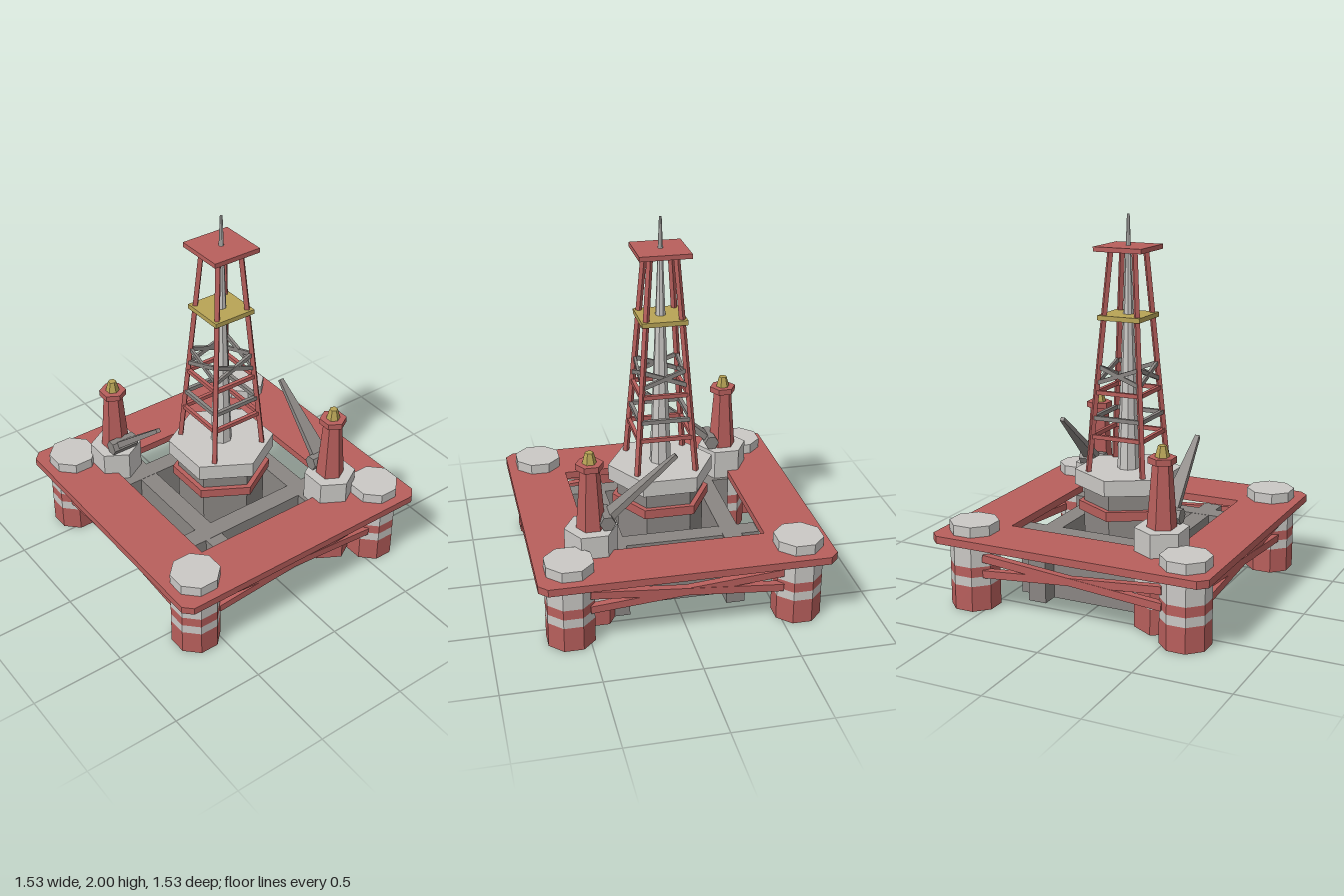
import * as THREE from 'three';

const mat = (name, color) => {
  const m = new THREE.MeshStandardMaterial({ color });
  m.name = name;
  return m;
};

export function createModel() {
  const red = mat('red paint', 0xb85f5c);
  const light = mat('light grey', 0xcac8c5);
  const grey = mat('mid grey', 0x8a8683);
  const yellow = mat('dull yellow', 0xb8a456);
  const dark = mat('dark opening', 0x303030);

  const rig = new THREE.Group();
  rig.name = 'oilRig';

  const add = (parent, name, geo, material, x = 0, y = 0, z = 0) => {
    const m = new THREE.Mesh(geo, material);
    m.name = name;
    m.position.set(x, y, z);
    parent.add(m);
    return m;
  };
  const box = (parent, name, material, w, h, d, x, y, z) =>
    add(parent, name, new THREE.BoxGeometry(w, h, d), material, x, y, z);

  // Faceted prism between two heights; hexagons point along x, octagons have flats on the axes
  const prism = (parent, name, material, sides, r0, r1, y0, y1, x = 0, z = 0) => {
    const g = new THREE.CylinderGeometry(r1, r0, y1 - y0, sides).toNonIndexed();
    g.rotateY(sides === 8 ? Math.PI / 8 : Math.PI / 2);
    g.computeVertexNormals();
    return add(parent, name, g, material, x, (y0 + y1) / 2, z);
  };

  // Square bar from a to b; taper narrows the far end sideways
  const beam = (parent, name, material, a, b, w, h, taper = 1, taperH = 1) => {
    const p = new THREE.Vector3(...a), q = new THREE.Vector3(...b);
    const g = new THREE.BoxGeometry(w, h, p.distanceTo(q)).toNonIndexed();
    const pos = g.attributes.position;
    for (let i = 0; i < pos.count; i++) {
      if (pos.getZ(i) > 0) pos.setXY(i, pos.getX(i) * taper, pos.getY(i) * taperH);
    }
    g.computeVertexNormals();
    const m = new THREE.Mesh(g, material);
    m.name = name;
    m.position.copy(p).lerp(q, 0.5);
    m.lookAt(q);
    parent.add(m);
    return m;
  };

  // Painted column bands from the waterline up
  const column = (parent, name, sides, r, top, x, z) => {
    const bands = [[0, 0.135, red], [0.135, 0.185, light], [0.185, 0.238, red], [0.238, top, light]];
    for (const [y0, y1, m] of bands) prism(parent, name, m, sides, r, r, y0, y1, x, z);
  };

  // Deck with clipped corners and a square well
  const D = 0.765, C = 0.72, H = 0.455;
  const outline = [[-C, -D], [C, -D], [D, -C], [D, C], [C, D], [-C, D], [-D, C], [-D, -C]];
  const deckShape = new THREE.Shape(outline.map(p => new THREE.Vector2(...p)));
  deckShape.holes.push(new THREE.Path([[-H, -H], [-H, H], [H, H], [H, -H]].map(p => new THREE.Vector2(...p))));
  const deckGeo = new THREE.ExtrudeGeometry(deckShape, { depth: 0.04, bevelEnabled: false });
  deckGeo.rotateX(-Math.PI / 2);
  add(rig, 'deck', deckGeo, red, 0, 0.36, 0);

  // Corner legs
  for (const x of [-0.595, 0.595])
    for (const z of [-0.595, 0.595]) column(rig, 'cornerLeg', 8, 0.13, 0.455, x, z);

  // Crossing walls under the well
  for (const s of [-1, 1]) {
    box(rig, 'wellWallLong', grey, 0.1, 0.36, 0.91, s * 0.31, 0.18, 0);
    box(rig, 'wellWallCross', grey, 0.908, 0.358, 0.1, 0, 0.18, s * 0.31);
  }

  // Crossed braces between the legs on all four sides
  for (let i = 0; i < 4; i++) {
    const side = new THREE.Group();
    side.name = 'crossBraces';
    beam(side, 'brace', red, [-0.5, 0.285, 0.66], [0.5, 0.2, 0.66], 0.04, 0.04);
    beam(side, 'brace', red, [-0.5, 0.2, 0.658], [0.5, 0.285, 0.658], 0.04, 0.04);
    side.rotation.y = i * Math.PI / 2;
    rig.add(side);
  }

  // Central drill column
  prism(rig, 'drillColumn', grey, 6, 0.235, 0.235, 0.01, 0.57);
  prism(rig, 'drillOpening', dark, 6, 0.234, 0.234, 0.003, 0.011);
  prism(rig, 'columnRing', red, 6, 0.265, 0.265, 0.43, 0.48);
  prism(rig, 'drillFloor', light, 6, 0.285, 0.285, 0.57, 0.655);

  // Derrick
  const derrick = new THREE.Group();
  derrick.name = 'derrick';
  rig.add(derrick);
  const half = y => THREE.MathUtils.mapLinear(y, 0.655, 1.82, 0.157, 0.068);
  for (let i = 0; i < 4; i++) {
    const face = new THREE.Group();
    face.name = 'derrickFace';
    const at = (s, y) => [s * half(y), y, half(y)];
    beam(face, 'derrickLeg', red, at(1, 0.65), at(1, 1.82), 0.024, 0.024);
    for (const y of [0.845, 1.08]) beam(face, 'redRung', red, at(-1, y), at(1, y), 0.02, 0.022);
    beam(face, 'greyRung', grey, at(-1, 0.945), at(1, 0.945), 0.02, 0.022);
    beam(face, 'crossBar', grey, at(-1, 1.13), at(1, 1.215), 0.016, 0.022);
    beam(face, 'crossBar', grey, at(-1, 1.215), at(1, 1.13), 0.014, 0.022);
    face.rotation.y = i * Math.PI / 2;
    derrick.add(face);
  }
  box(derrick, 'middlePlatform', yellow, 0.24, 0.025, 0.24, 0, 1.472, 0);
  box(derrick, 'topPlatform', red, 0.27, 0.025, 0.27, 0, 1.826, 0);
  prism(derrick, 'drillMast', light, 8, 0.058, 0.007, 0.655, 2);

  // Two cranes, opposite each other
  for (const turn of [0, Math.PI]) {
    const crane = new THREE.Group();
    crane.name = 'crane';
    const x = -0.448, z = 0.4;
    column(crane, 'cranePedestal', 6, 0.138, 0.522, x, z);
    prism(crane, 'craneTower', red, 6, 0.076, 0.05, 0.52, 0.85, x, z);
    prism(crane, 'craneCap', red, 6, 0.072, 0.072, 0.848, 0.88, x, z);
    prism(crane, 'craneLamp', yellow, 6, 0.037, 0.022, 0.88, 0.937, x, z);
    const pivot = prism(crane, 'boomPivot', grey, 6, 0.041, 0.041, -0.075, 0.075);
    pivot.rotation.x = Math.PI / 2;
    pivot.position.set(-0.372, 0.562, z);
    beam(crane, 'boom', grey, [-0.372, 0.562, z], [-0.005, 0.875, z], 0.096, 0.036, 0.24, 0.6);
    crane.rotation.y = turn;
    rig.add(crane);
  }

  return rig;
}
